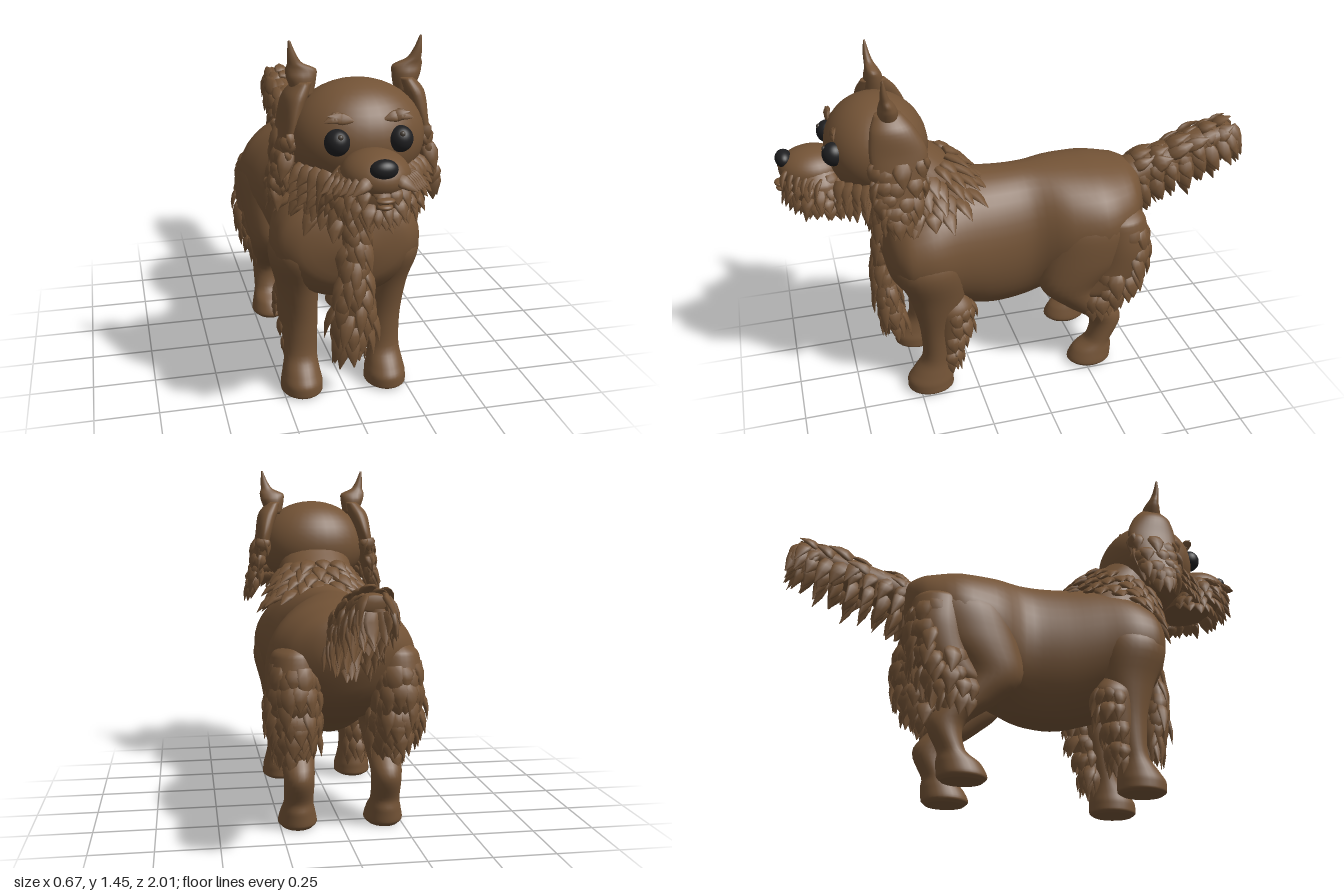
import * as THREE from 'three';
import { mergeGeometries } from 'three/addons/utils/BufferGeometryUtils.js';

const V = (x, y, z) => new THREE.Vector3(x, y, z);
const coat = new THREE.MeshStandardMaterial({ color: 0x735336 });
const black = new THREE.MeshStandardMaterial({ color: 0x1e1e20 });
const shine = new THREE.MeshStandardMaterial({ color: 0x443c34 });
coat.name = 'brownCoat';
black.name = 'blackEyesAndNose';
shine.name = 'eyeShine';

// Small seeded random in the range -1..1
let seed = 7;
const rnd = () => {
  seed = (seed * 16807) % 2147483647;
  return (seed / 2147483647) * 2 - 1;
};

// Closed skin over rings { c, u, v }; u = v x travel direction
function skin(rings, sides) {
  const first = rings[0], last = rings[rings.length - 1], zero = V(0, 0, 0);
  const all = [{ c: first.c, u: zero, v: zero }, ...rings, { c: last.c, u: zero, v: zero }];
  const pos = [], idx = [];
  all.forEach(({ c, u, v }, i) => {
    for (let j = 0; j < sides; j++) {
      const a = (j / sides) * Math.PI * 2;
      const p = c.clone().addScaledVector(u, Math.cos(a)).addScaledVector(v, Math.sin(a));
      pos.push(p.x, p.y, p.z);
      if (i === all.length - 1) continue;
      const k = (j + 1) % sides, b = i * sides, d = b + sides;
      idx.push(b + j, b + k, d + k, b + j, d + k, d + j);
    }
  });
  const g = new THREE.BufferGeometry();
  g.setAttribute('position', new THREE.Float32BufferAttribute(pos, 3));
  g.setIndex(idx);
  g.computeVertexNormals();
  return g;
}

// Smooth loft through sections [x, y, z, r1, r2]: axis 'y' runs downwards, axis 'z' runs forwards
function loft(axis, sections, steps = 28, sides = 28) {
  const centre = new THREE.CatmullRomCurve3(sections.map(s => V(s[0], s[1], s[2])));
  const radius = new THREE.CatmullRomCurve3(sections.map(s => V(s[3], s[4], 0)));
  const ring = t => {
    const r = radius.getPoint(t), r1 = Math.max(r.x, 0.003), r2 = Math.max(r.y, 0.003);
    return { c: centre.getPoint(t), u: V(r1, 0, 0), v: axis === 'y' ? V(0, 0, r2) : V(0, r2, 0) };
  };
  const rings = Array.from({ length: steps + 1 }, (_, i) => ring(i / steps));
  return { ring, geo: skin(rings, sides) };
}

// One flattened, pointed lock of hair
function tuft(p, dir, out, len, w) {
  const d = dir.clone().normalize();
  const n = out.clone().addScaledVector(d, -out.dot(d)).normalize();
  const u = n.clone().cross(d);
  const rings = [[0, 0.85], [0.3, 1], [0.6, 0.72], [1, 0.06]].map(([s, k]) => ({
    c: p.clone().addScaledVector(d, s * len).addScaledVector(n, len * 0.3 * s * (1 - s) - w * 0.3),
    u: u.clone().multiplyScalar(w * k),
    v: n.clone().multiplyScalar(w * k * 0.4),
  }));
  return skin(rings, 8);
}

// Rows of locks laid over a loft between parameters t and angles a
function fur(base, { t, a, rows, n, len, w, flow, lean }) {
  const out = [];
  for (let r = 0; r < rows; r++) {
    const { c, u, v } = base.ring(t[0] + (t[1] - t[0]) * r / (rows - 1));
    for (let i = 0; i < n; i++) {
      const f = (i + (r % 2) * 0.5 + rnd() * 0.25) / (n - 0.5);
      const ang = a[0] + (a[1] - a[0]) * f;
      const p = c.clone().addScaledVector(u, Math.cos(ang)).addScaledVector(v, Math.sin(ang));
      p.y += rnd() * len * 0.15;
      const normal = u.clone().multiplyScalar(Math.cos(ang) / u.lengthSq())
        .addScaledVector(v, Math.sin(ang) / v.lengthSq()).normalize();
      const dir = V(...flow).normalize().addScaledVector(normal, lean + rnd() * 0.12);
      dir.x += rnd() * 0.15;
      out.push(tuft(p, dir, normal, len * (1 + rnd() * 0.25), w * (1 + rnd() * 0.2)));
    }
  }
  return out;
}

function mirror(geo) {
  const g = geo.clone().scale(-1, 1, 1), ix = g.index.array;
  for (let i = 0; i < ix.length; i += 3) [ix[i], ix[i + 1]] = [ix[i + 1], ix[i]];
  return g;
}

const ellipsoid = (x, y, z, rx, ry, rz) =>
  new THREE.SphereGeometry(1, 32, 22).scale(rx, ry, rz).translate(x, y, z);

export function createModel() {
  const model = new THREE.Group();
  model.name = 'longHairedDog';
  const add = (name, geo, mat = coat) => {
    const m = new THREE.Mesh(Array.isArray(geo) ? mergeGeometries(geo) : geo, mat);
    m.name = name;
    model.add(m);
  };
  const pair = (name, geo, mat) => {
    const g = Array.isArray(geo) ? mergeGeometries(geo) : geo;
    add('left' + name, g, mat);
    add('right' + name, mirror(g), mat);
  };

  // Trunk and neck
  add('body', loft('z', [
    [0, 0.77, -0.525, 0.03, 0.03], [0, 0.77, -0.51, 0.13, 0.1], [0, 0.73, -0.45, 0.235, 0.18],
    [0, 0.69, -0.3, 0.3, 0.245], [0, 0.665, -0.15, 0.275, 0.275], [0, 0.625, 0, 0.215, 0.31],
    [0, 0.62, 0.15, 0.235, 0.315], [0, 0.645, 0.3, 0.265, 0.3], [0, 0.655, 0.42, 0.293, 0.265],
    [0, 0.655, 0.52, 0.28, 0.22], [0, 0.66, 0.58, 0.21, 0.15], [0, 0.66, 0.61, 0.04, 0.03],
  ], 48, 40).geo);
  add('neck', loft('y', [
    [0, 1.1, 0.54, 0.15, 0.14], [0, 1.0, 0.46, 0.17, 0.175], [0, 0.92, 0.42, 0.185, 0.2],
    [0, 0.83, 0.39, 0.215, 0.215], [0, 0.7, 0.37, 0.255, 0.23], [0, 0.6, 0.37, 0.2, 0.18],
  ]).geo);

  // Legs
  pair('FrontLeg', loft('y', [
    [0.16, 0.76, 0.41, 0.04, 0.06], [0.175, 0.71, 0.42, 0.085, 0.11], [0.192, 0.61, 0.43, 0.107, 0.145],
    [0.182, 0.46, 0.405, 0.085, 0.115], [0.172, 0.3, 0.41, 0.07, 0.073], [0.172, 0.16, 0.42, 0.066, 0.06],
    [0.174, 0.09, 0.44, 0.075, 0.085], [0.174, 0.05, 0.45, 0.083, 0.1],
    [0.174, 0.015, 0.45, 0.084, 0.1], [0.174, 0, 0.45, 0.066, 0.082],
  ], 40).geo);
  pair('HindLeg', loft('y', [
    [0.14, 0.85, -0.3, 0.04, 0.07], [0.155, 0.8, -0.295, 0.1, 0.14], [0.178, 0.68, -0.28, 0.124, 0.195],
    [0.185, 0.55, -0.24, 0.115, 0.188], [0.185, 0.42, -0.175, 0.092, 0.128],
    [0.18, 0.32, -0.25, 0.075, 0.1], [0.178, 0.22, -0.345, 0.062, 0.072], [0.178, 0.12, -0.32, 0.06, 0.056],
    [0.178, 0.07, -0.29, 0.07, 0.088], [0.178, 0.02, -0.275, 0.08, 0.098], [0.178, 0, -0.275, 0.064, 0.08],
  ], 48).geo);

  // Feathering on the legs
  const thigh = loft('y', [
    [0.2, 0.77, -0.39, 0.03, 0.06], [0.2, 0.73, -0.39, 0.09, 0.105], [0.205, 0.6, -0.395, 0.104, 0.12],
    [0.2, 0.48, -0.365, 0.1, 0.12], [0.195, 0.4, -0.31, 0.085, 0.115], [0.19, 0.35, -0.27, 0.045, 0.07],
  ]);
  pair('ThighFeathering', [thigh.geo,
    ...fur(thigh, { t: [0.28, 0.55], a: [-0.3, -Math.PI], rows: 4, n: 8, len: 0.1, w: 0.036, flow: [0, -1, -0.1], lean: 0.04 }),
    ...fur(thigh, { t: [0.58, 0.95], a: [0.6, -Math.PI - 0.2], rows: 4, n: 9, len: 0.095, w: 0.036, flow: [0, -1, -0.1], lean: 0.06 })]);
  const foreFur = loft('y', [
    [0.2, 0.47, 0.345, 0.03, 0.05], [0.2, 0.4, 0.34, 0.064, 0.08], [0.19, 0.29, 0.355, 0.06, 0.068],
    [0.18, 0.19, 0.365, 0.052, 0.05], [0.178, 0.15, 0.37, 0.03, 0.03],
  ]);
  pair('FrontLegFeathering', [foreFur.geo, ...fur(foreFur, {
    t: [0.2, 0.9], a: [0.2, -Math.PI - 0.2], rows: 5, n: 6, len: 0.085, w: 0.03, flow: [0, -1, -0.15], lean: 0.1,
  })]);

  // Neck ruff
  const ruff = [];
  for (let r = 0; r < 5; r++) {
    for (let i = 0; i < 19; i++) {
      const a = ((i + (r % 2) / 2 + rnd() * 0.2) / 19) * Math.PI * 2;
      const c = Math.cos(a), s = Math.sin(a), R = 0.15 + 0.015 * r;
      const p = V(c * R, 0.99 - 0.03 * r - 0.055 * s, 0.46 - 0.01 * r + s * R);
      const dir = V(c * (0.8 + rnd() * 0.2), -0.7 - 0.45 * s, s * 0.55);
      ruff.push(tuft(p, dir, V(c, 0.4, s), 0.1 * (1 + rnd() * 0.25), 0.036));
    }
  }
  add('neckRuff', ruff);

  // Chest bib
  const bib = loft('y', [
    [0, 0.86, 0.575, 0.06, 0.04], [0, 0.75, 0.585, 0.055, 0.04], [0, 0.6, 0.59, 0.055, 0.045],
    [0, 0.45, 0.595, 0.078, 0.052], [0, 0.35, 0.58, 0.072, 0.045], [0, 0.28, 0.565, 0.035, 0.03],
  ]);
  add('chestBib', [bib.geo,
    ...fur(bib, { t: [0, 0.55], a: [-0.2, Math.PI + 0.2], rows: 7, n: 6, len: 0.11, w: 0.027, flow: [0, -1, 0], lean: 0.14 }),
    ...fur(bib, { t: [0.6, 0.97], a: [0, Math.PI * 2], rows: 5, n: 9, len: 0.12, w: 0.027, flow: [0, -1, -0.1], lean: 0.14 })]);

  // Plumed tail
  const tail = loft('z', [
    [0, 0.985, -0.96, 0.05, 0.025], [0, 0.972, -0.925, 0.066, 0.045], [0, 0.93, -0.8, 0.075, 0.066],
    [0, 0.875, -0.65, 0.085, 0.078], [0, 0.825, -0.5, 0.09, 0.083], [0, 0.8, -0.42, 0.07, 0.07],
  ]);
  add('tail', [tail.geo,
    ...fur(tail, { t: [0.02, 0.85], a: [0.7, -Math.PI - 0.7], rows: 11, n: 9, len: 0.105, w: 0.032, flow: [0, -1, -0.45], lean: 0.2 }),
    ...fur(tail, { t: [0.28, 0.8], a: [0.5, Math.PI - 0.5], rows: 6, n: 5, len: 0.1, w: 0.034, flow: [0, 0.35, -1], lean: 0.06 })]);

  // Head, muzzle and mouth
  add('head', ellipsoid(0, 1.105, 0.59, 0.25, 0.205, 0.205));
  add('muzzle', ellipsoid(0, 1.038, 0.845, 0.12, 0.084, 0.13));
  add('upperLip', ellipsoid(0, 0.985, 0.975, 0.032, 0.011, 0.022));
  add('lowerLip', ellipsoid(0, 0.962, 0.97, 0.027, 0.011, 0.022));
  add('nose', ellipsoid(0, 1.085, 0.95, 0.048, 0.034, 0.033), black);
  const beard = loft('y', [
    [0, 1.06, 0.83, 0.11, 0.1], [0, 1.01, 0.83, 0.152, 0.125],
    [0, 0.95, 0.81, 0.16, 0.132], [0, 0.915, 0.78, 0.125, 0.105],
  ]);
  add('beard', [beard.geo, ...fur(beard, {
    t: [0.12, 0.95], a: [-0.8, Math.PI + 0.8], rows: 5, n: 15, len: 0.068, w: 0.025, flow: [0, -1, 0], lean: 0.5,
  })]);

  // Moustache, cheeks and brows
  const moustache = [], cheek = [], brow = [];
  for (let i = 0; i < 6; i++) {
    const f = i / 5;
    moustache.push(tuft(V(0.045 + 0.075 * f, 1.055 - 0.005 * i, 0.955 - 0.12 * f), V(0.75, -0.5, 0.25), V(0.4, 0.3, 1), 0.085, 0.025));
  }
  for (let r = 0; r < 3; r++) {
    for (let i = 0; i < 4; i++)
      cheek.push(tuft(V(0.145 + 0.02 * i, 1.03 - 0.035 * r, 0.76 - 0.03 * i), V(0.5 + 0.15 * i, -0.9, 0.2 + rnd() * 0.1), V(0.7, 0.2, 0.8), 0.09, 0.03));
  }
  for (const [x, y, dx, dy] of [[0.11, 1.215, -1, -0.2], [0.1, 1.222, 1, -0.3], [0.085, 1.208, 1, 0.3]])
    brow.push(tuft(V(x, y, 0.762), V(dx, dy, 0.1), V(0.2, 0.5, 1), 0.062, 0.021));
  pair('Moustache', moustache);
  pair('CheekFur', cheek);
  pair('Brow', brow);

  // Eyes
  pair('Eye', ellipsoid(0.112, 1.13, 0.765, 0.045, 0.047, 0.045), black);
  pair('EyeShine', ellipsoid(0.109, 1.156, 0.799, 0.01, 0.01, 0.009), shine);

  // Drooping ears with upright tips
  const ear = loft('y', [
    [0.185, 1.305, 0.56, 0.03, 0.05], [0.215, 1.25, 0.55, 0.045, 0.085], [0.24, 1.15, 0.535, 0.036, 0.11],
    [0.26, 1.05, 0.54, 0.034, 0.1], [0.28, 0.97, 0.555, 0.03, 0.075], [0.295, 0.93, 0.565, 0.018, 0.04],
  ]);
  pair('Ear', [ear.geo, ...fur(ear, {
    t: [0.45, 0.97], a: [-2.2, 2.2], rows: 5, n: 7, len: 0.08, w: 0.032, flow: [0.12, -1, 0], lean: 0.1,
  })]);
  pair('EarTip', loft('y', [
    [0.238, 1.45, 0.577, 0.004, 0.004], [0.23, 1.405, 0.575, 0.015, 0.012], [0.218, 1.37, 0.57, 0.026, 0.018],
    [0.195, 1.343, 0.562, 0.056, 0.028], [0.192, 1.315, 0.56, 0.054, 0.038], [0.185, 1.25, 0.56, 0.035, 0.04],
  ], 24, 16).geo);

  return model;
}
